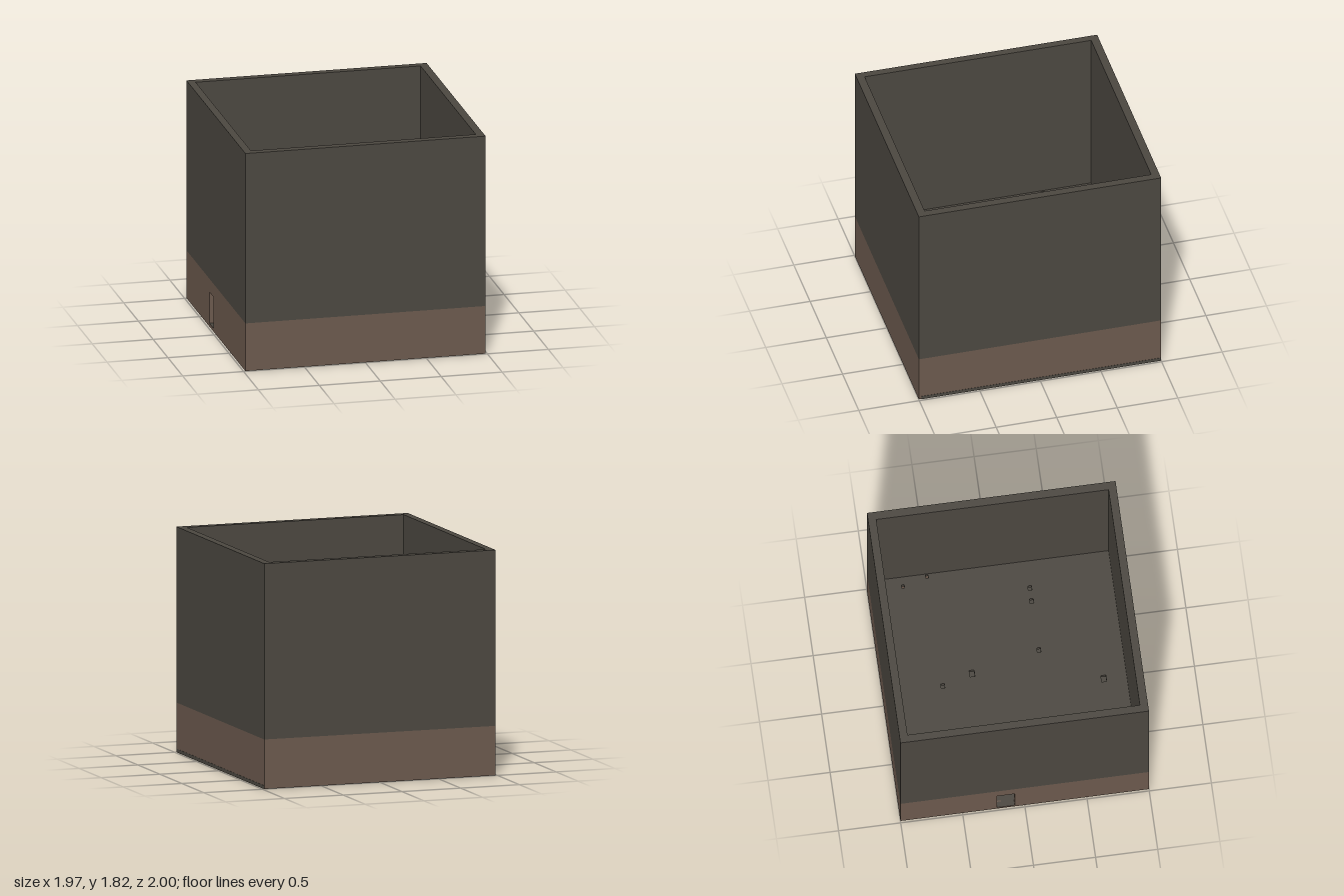
import * as THREE from 'three';

const stone = new THREE.MeshStandardMaterial({ name: 'dark stone', color: 0x4b4740 });
const clay = new THREE.MeshStandardMaterial({ name: 'brown clay', color: 0x6b594d });

// Outer and inner faces of the walls, and the storey heights
const OUT = { x0: -0.985, x1: 0.985, z0: -1, z1: 1 };
const INN = { x0: -0.925, x1: 0.92, z0: -0.935, z1: 0.935 };
const BAND = 0.4, TOP = 1.82, FLOOR = 0.028;

function rect(Type, a0, a1, b0, b1) {
  return new Type().moveTo(a0, b0).lineTo(a1, b0).lineTo(a1, b1).lineTo(a0, b1).closePath();
}

// Plan shape in x and z, raised from y0 to y1
function plan(name, material, area, holes, y0, y1) {
  const shape = rect(THREE.Shape, area.x0, area.x1, -area.z1, -area.z0);
  holes.forEach(h => shape.holes.push(rect(THREE.Path, h.x0, h.x1, -h.z1, -h.z0)));
  const geo = new THREE.ExtrudeGeometry(shape, { depth: y1 - y0, bevelEnabled: false });
  geo.rotateX(-Math.PI / 2).translate(0, y0, 0);
  const mesh = new THREE.Mesh(geo, material);
  mesh.name = name;
  return mesh;
}

function block(name, material, x0, x1, y0, y1, z0, z1) {
  const mesh = new THREE.Mesh(new THREE.BoxGeometry(x1 - x0, y1 - y0, z1 - z0), material);
  mesh.position.set((x0 + x1) / 2, (y0 + y1) / 2, (z0 + z1) / 2);
  mesh.name = name;
  return mesh;
}

export function createModel() {
  const model = new THREE.Group();
  model.name = 'walledBuilding';

  // Tall open upper walls
  model.add(plan('upperWalls', stone, OUT, [INN], BAND, TOP));

  // Lower band: three plain walls and one with a doorway
  const base = new THREE.Group();
  base.name = 'lowerWalls';
  const y0 = 0.002;
  base.add(block('frontBase', clay, OUT.x0, OUT.x1, y0, BAND, INN.z1, OUT.z1));
  base.add(block('backBase', clay, OUT.x0, OUT.x1, y0, BAND, OUT.z0, INN.z0));
  base.add(block('leftBase', clay, INN.x1, OUT.x1, y0, BAND, INN.z0, INN.z1));
  const side = rect(THREE.Shape, INN.z0, INN.z1, y0, BAND);
  const door = { z0: -0.225, z1: -0.08, top: 0.29 };
  side.holes.push(rect(THREE.Path, door.z0, door.z1, FLOOR, door.top));
  const sideGeo = new THREE.ExtrudeGeometry(side, { depth: INN.x0 - OUT.x0, bevelEnabled: false });
  sideGeo.rotateY(-Math.PI / 2).translate(INN.x0, 0, 0);
  const doorWall = new THREE.Mesh(sideGeo, clay);
  doorWall.name = 'doorwayBase';
  base.add(doorWall);
  model.add(base);

  // Ground slab, showing as a thin strip on the left side
  model.add(block('groundSlab', stone, -0.984, 0.987, 0, FLOOR, -0.999, 0.98));

  // Deck above the lower storey, pierced by small square shafts
  const shafts = [
    [0.84, -0.73, 0.03], [-0.04, -0.53, 0.04], [0.035, -0.285, 0.055],
    [-0.665, 0.27, 0.035], [0.16, 0.27, 0.04], [0.58, 0.27, 0.04],
    [0.69, 0.27, 0.04], [-0.15, 0.75, 0.055], [-0.9, -0.53, 0.03], [0.9, -0.53, 0.03],
  ];
  const openings = shafts.map(([x, z, w]) =>
    ({ x0: x - w / 2, x1: x + w / 2, z0: z - w * 0.36, z1: z + w * 0.36 }));
  model.add(plan('deck', stone, INN, openings, BAND - 0.04, BAND));

  // Passage behind the doorway
  const passage = new THREE.Group();
  passage.name = 'passage';
  for (const z of [door.z0 - 0.05, door.z1 + 0.01]) {
    passage.add(block('passageSide', clay, INN.x0, -0.5, FLOOR, BAND - 0.04, z, z + 0.04));
  }
  passage.add(block('passageEnd', clay, -0.5, -0.46, FLOOR, BAND - 0.04, -0.28, -0.03));
  model.add(passage);

  // Footings of the inner walls, showing through the underside
  let seed = 11;
  const rnd = () => (seed = (seed * 16807) % 2147483647) / 2147483647;
  const footings = new THREE.Group();
  footings.name = 'wallFootings';
  for (let i = 0; i < 8; i++) {
    for (let j = 0; j < 8; j++) {
      if (rnd() < 0.2) continue;
      const x = -0.8 + i * 0.225 + rnd() * 0.08, z = -0.82 + j * 0.225 + rnd() * 0.08;
      const long = 0.06 + rnd() * 0.2, wide = 0.018 + rnd() * 0.02;
      const [w, d] = rnd() < 0.5 ? [long, wide] : [wide, long];
      footings.add(block('footing', clay, x - w / 2, x + w / 2, -0.001, 0.004, z - d / 2, z + d / 2));
    }
  }
  model.add(footings);
  return model;
}
